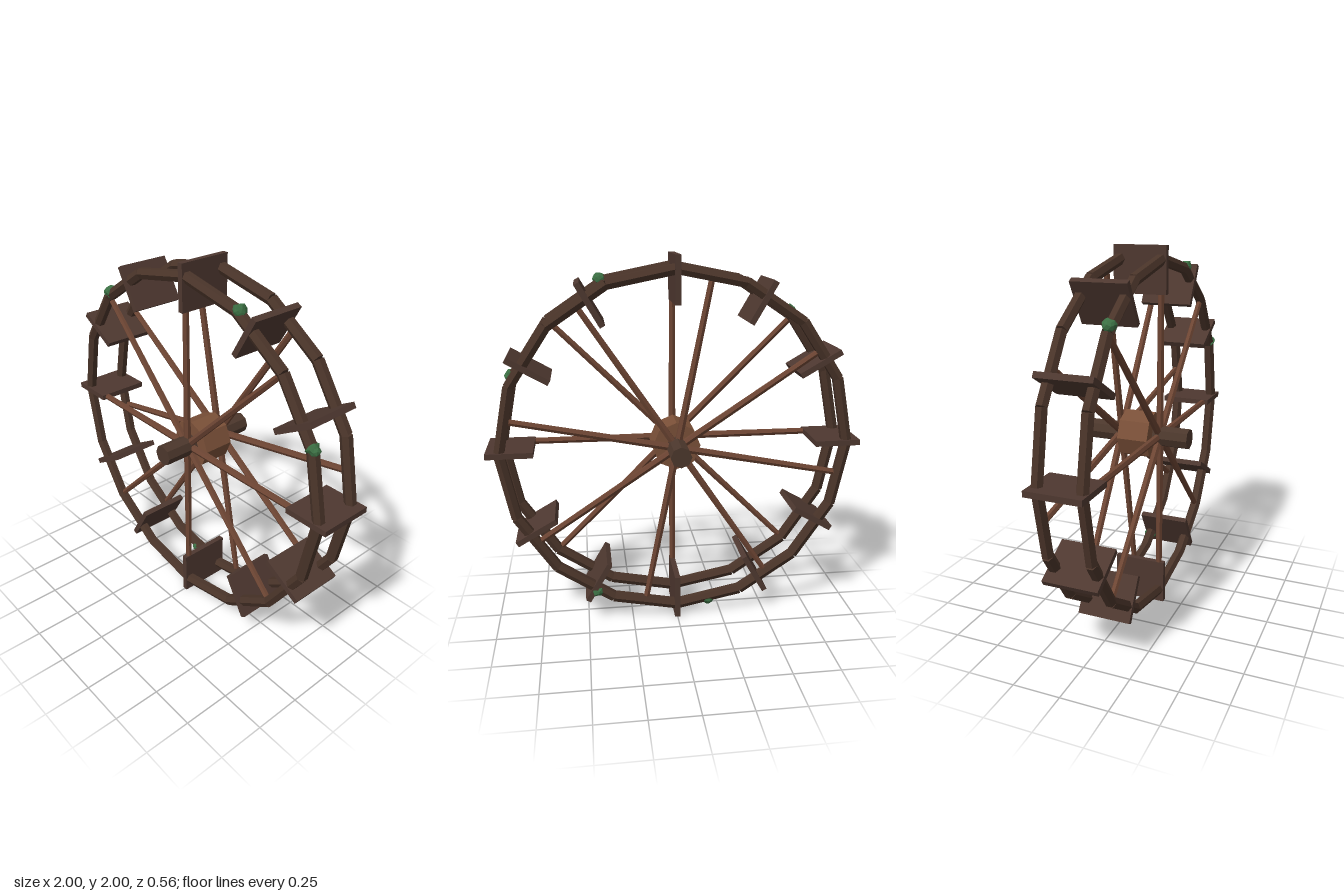
import * as THREE from 'three';

const mat = (name, color) => {
  const m = new THREE.MeshStandardMaterial({ color, flatShading: true });
  m.name = name;
  return m;
};

export function createModel() {
  const wheel = new THREE.Group();
  wheel.name = 'waterWheel';
  wheel.position.y = 1;

  const rimWood = mat('dark rim wood', 0x4a3429);
  const paddleWood = mat('paddle wood', 0x4e3830);
  const spokeWood = mat('spoke wood', 0x6d4533);
  const hubWood = mat('hub wood', 0x7a5038);
  const axleWood = mat('axle wood', 0x4c372c);
  const mossGreen = mat('moss green', 0x3c7044);

  const add = (name, geometry, material, parent = wheel) => {
    const mesh = new THREE.Mesh(geometry, material);
    mesh.name = name;
    parent.add(mesh);
    return mesh;
  };

  // Axle and hub run along z
  add('axle', new THREE.CylinderGeometry(0.056, 0.056, 0.56, 8).rotateX(Math.PI / 2), axleWood);
  add('hub', new THREE.CylinderGeometry(0.13, 0.13, 0.17, 8).rotateX(Math.PI / 2), hubWood);

  // Two rims of sixteen straight hexagonal beams, each with eight spokes
  const R = 0.93, SIDES = 16, step = (Math.PI * 2) / SIDES;
  const beamGeo = new THREE.CylinderGeometry(0.031, 0.031, 2 * R * Math.sin(step / 2), 6);
  const spokeGeo = new THREE.CylinderGeometry(0.0165, 0.0205, 0.9, 6).translate(0, 0.45, 0);

  for (const side of [1, -1]) {
    const label = side > 0 ? 'front' : 'back';
    const rim = new THREE.Group();
    rim.name = label + 'Rim';
    rim.position.z = side * 0.112;
    wheel.add(rim);

    for (let i = 0; i < SIDES; i++) {
      const a = (i + 0.5) * step, r = R * Math.cos(step / 2);
      const beam = add(label + 'RimBeam', beamGeo, rimWood, rim);
      beam.position.set(Math.cos(a) * r, Math.sin(a) * r, 0);
      beam.rotation.z = a;
    }
    // Back spokes are turned half a beam from the front ones
    for (let i = 0; i < 8; i++) {
      const a = (i * Math.PI) / 4 + (side > 0 ? 0 : step / 2);
      const spoke = add(label + 'Spoke', spokeGeo, spokeWood, rim);
      spoke.rotation.z = a - Math.PI / 2;
    }
  }

  // Twelve radial paddles bridging the rims
  const paddleGeo = new THREE.BoxGeometry(0.245, 0.03, 0.29);
  for (let i = 0; i < 12; i++) {
    const a = (i * Math.PI) / 6;
    const paddle = add('paddle', paddleGeo, paddleWood);
    paddle.position.set(Math.cos(a) * 0.877, Math.sin(a) * 0.877, 0);
    paddle.rotation.z = a;
  }

  // Lumpy moss clumps on the rims
  const mossGeo = new THREE.IcosahedronGeometry(0.034, 1);
  const p = mossGeo.attributes.position, v = new THREE.Vector3();
  for (let i = 0; i < p.count; i++) {
    v.fromBufferAttribute(p, i);
    const lump = 1 + 0.16 * Math.sin(v.x * 230 + v.y * 310 + v.z * 170);
    p.setXYZ(i, v.x * lump, v.y * lump, v.z * lump);
  }
  mossGeo.computeVertexNormals();
  [
    [0.378, 0.865, 0.115], [-0.642, 0.69, 0.115], [0.862, 0.37, 0.115],
    [-0.178, -0.91, -0.112], [0.45, -0.815, -0.12],
  ].forEach(([x, y, z], i) => {
    const moss = add('moss', mossGeo, mossGreen);
    moss.position.set(x, y, z);
    moss.rotation.set(i, i * 2, i * 3);
  });

  return wheel;
}
